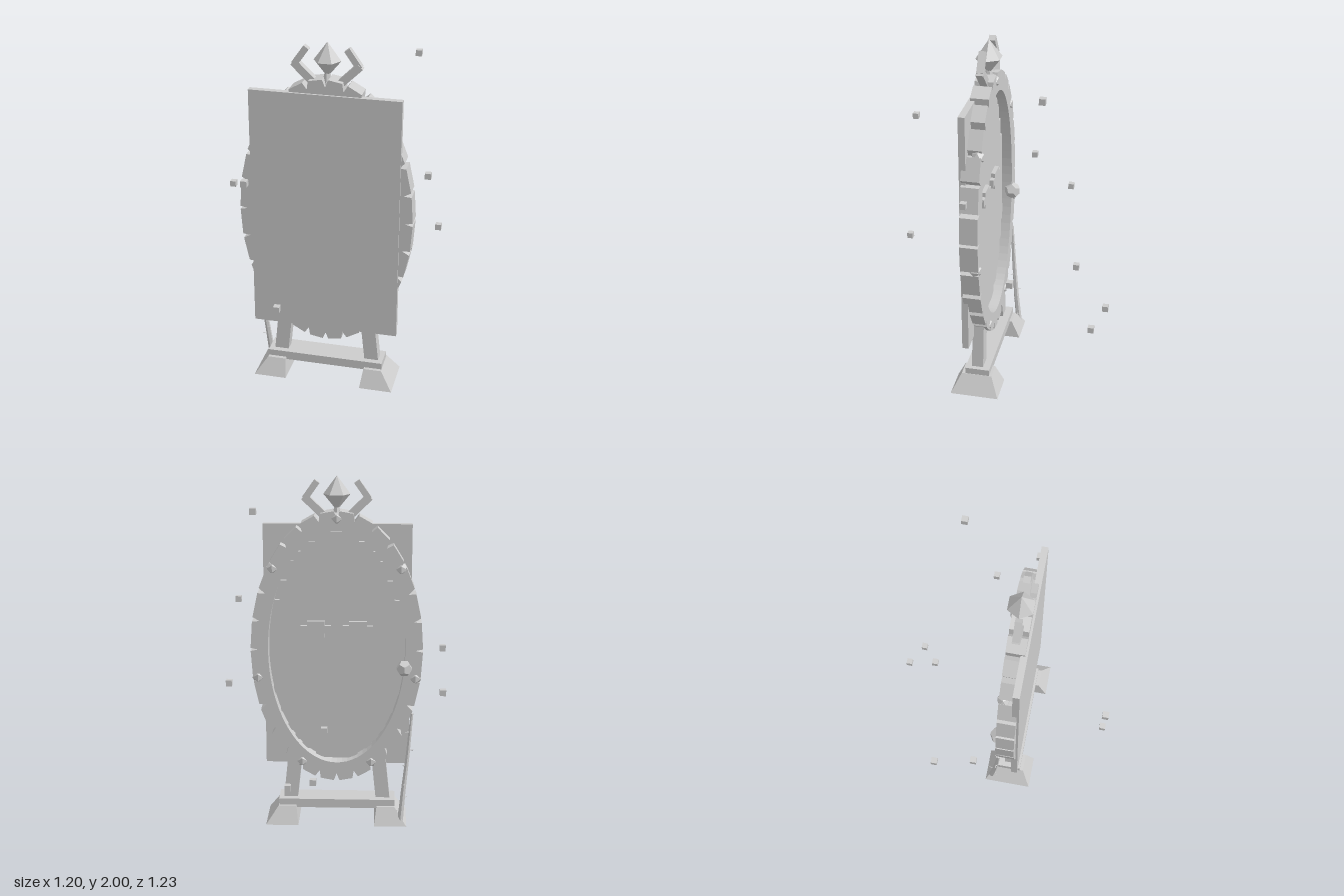
import * as THREE from 'three';

const stone = new THREE.MeshStandardMaterial({ color: 0xcccccc, flatShading: true });
stone.name = 'pale grey';
const CY = 1.03; // height of the oval's centre

export function createModel() {
  const root = new THREE.Group();
  root.name = 'standingMirror';

  const add = (name, geo, x = 0, y = 0, z = 0, parent = root) => {
    const m = new THREE.Mesh(geo, stone);
    m.name = name;
    m.position.set(x, y, z);
    parent.add(m);
    return m;
  };
  const box = (name, w, h, d, x, y, z) => add(name, new THREE.BoxGeometry(w, h, d), x, y, z);
  const extrude = (shape, depth) =>
    new THREE.ExtrudeGeometry(shape, { depth, bevelEnabled: false, curveSegments: 40 });
  // Square bar between two points of the xy plane
  const bar = (name, a, b, w, d, z) => {
    const dx = b[0] - a[0], dy = b[1] - a[1];
    const m = box(name, w, Math.hypot(dx, dy), d, (a[0] + b[0]) / 2, (a[1] + b[1]) / 2, z);
    m.rotation.z = Math.atan2(-dx, dy);
    return m;
  };

  // Front panel
  box('frontPanel', 0.826, 1.4, 0.036, -0.002, CY, 0.134);

  // Oval frame: 28 blocks separated by narrow notches
  const outline = [];
  const N = 28, step = (Math.PI * 2) / N;
  for (let i = 0; i < N; i++) {
    const t = i * step;
    const gap = 0.012 + 0.022 * Math.abs(Math.sin(t));
    for (const [da, inset] of [[-gap, 0], [0, 0.042], [gap, 0]]) {
      outline.push(new THREE.Vector2(
        (0.483 - inset) * Math.cos(t + da), (0.782 - inset) * Math.sin(t + da)));
    }
  }
  const frame = new THREE.Shape(outline);
  frame.holes.push(new THREE.Path().absellipse(0, 0, 0.385, 0.672, 0, Math.PI * 2, true));
  add('ovalFrame', extrude(frame, 0.1), 0, CY, 0.04);

  // Mirror plate with a stepped edge
  const cell = 0.04, rows = 24, rowH = 1.32 / rows, right = [];
  for (let i = 0; i < rows; i++) {
    const y0 = -0.66 + i * rowH, yc = y0 + rowH / 2;
    const w = Math.round((0.375 * Math.sqrt(1 - (yc / 0.665) ** 2)) / cell) * cell;
    right.push([w, y0], [w, y0 + rowH]);
  }
  const left = right.map(([x, y]) => [-x, y]).reverse();
  const plate = new THREE.Shape([...right, ...left].map(([x, y]) => new THREE.Vector2(x, y)));
  add('mirrorPlate', extrude(plate, 0.025), 0, CY, 0.092);

  // Raised stepped eyes
  const eye = new THREE.Shape([
    [-0.085, -0.022], [-0.05, -0.022], [-0.05, -0.047], [0.05, -0.047], [0.05, -0.022], [0.085, -0.022],
    [0.085, 0.022], [0.05, 0.022], [0.05, 0.047], [-0.05, 0.047], [-0.05, 0.022], [-0.085, 0.022],
  ].map(([x, y]) => new THREE.Vector2(x, y)));
  for (const s of [1, -1]) add('eye', extrude(eye, 0.025), s * 0.118, 1.14, 0.069);

  // Studs around the frame
  for (let i = 0; i < 7; i++) {
    const t = Math.PI / 2 + (i * Math.PI * 2) / 7;
    add('stud', new THREE.IcosahedronGeometry(0.038, 0),
      0.455 * Math.cos(t), CY + 0.74 * Math.sin(t), 0.062);
  }

  // Crown: faceted crystal between two bent horns
  const crystal = add('crystal', new THREE.LatheGeometry([
    new THREE.Vector2(0, -0.09), new THREE.Vector2(0.074, 0), new THREE.Vector2(0, 0.1),
  ], 6), 0, 1.9, 0.083);
  crystal.rotation.y = Math.PI / 6 + Math.PI / 3 * 0.5 + Math.PI / 6;
  crystal.rotation.y = Math.PI / 2;
  add('crystalBase', new THREE.CylinderGeometry(0.015, 0.03, 0.06, 6), 0, 1.805, 0.085);
  for (const s of [1, -1]) {
    bar('hornLower', [s * 0.065, 1.775], [s * 0.178, 1.885], 0.042, 0.04, 0.09);
    bar('hornUpper', [s * 0.175, 1.873], [s * 0.108, 1.968], 0.034, 0.036, 0.09);
  }

  // Stand: legs, crossbar and sloped feet
  box('crossbar', 0.67, 0.052, 0.138, -0.002, 0.111, 0.089);
  for (const s of [1, -1]) {
    bar('leg', [s * 0.268, 0.12], [s * 0.235, 0.43], 0.08, 0.065, 0.092);
    const foot = new THREE.BoxGeometry(1, 1, 1), p = foot.attributes.position;
    for (let i = 0; i < p.count; i++) {
      const top = p.getY(i) > 0, outer = p.getX(i) * s > 0, front = p.getZ(i) > 0;
      p.setXYZ(i,
        s * (outer ? (top ? 0.335 : 0.405) : (top ? 0.232 : 0.218)),
        top ? 0.1 : 0,
        front ? (top ? 0.178 : 0.228) : (top ? 0.005 : -0.045));
    }
    foot.computeVertexNormals();
    add('foot', foot);
  }

  // Thorny vine climbing one side to a large bud
  const path = [[-0.37, 0.03, -0.012], [-0.385, 0.2, 0.008], [-0.408, 0.42, 0.028], [-0.428, 0.66, 0.045]]
    .map((a) => new THREE.Vector3(...a));
  const up = new THREE.Vector3(0, 1, 0);
  for (let i = 0; i < 3; i++) {
    const dir = path[i + 1].clone().sub(path[i]), mid = path[i].clone().add(path[i + 1]).multiplyScalar(0.5);
    const seg = add('vine', new THREE.CylinderGeometry(0.015 - i * 0.003, 0.018 - i * 0.003, dir.length(), 6),
      mid.x, mid.y, mid.z);
    seg.quaternion.setFromUnitVectors(up, dir.normalize());
  }
  const curve = new THREE.CatmullRomCurve3(path);
  for (let i = 0; i < 6; i++) {
    const p = curve.getPoint(0.1 + i * 0.15), a = i * 2.4;
    const dir = new THREE.Vector3(Math.cos(a), 0.1, Math.sin(a));
    p.addScaledVector(dir, 0.02);
    add('thorn', new THREE.ConeGeometry(0.006, 0.04, 4), p.x, p.y, p.z)
      .quaternion.setFromUnitVectors(up, dir.normalize());
  }
  add('bud', new THREE.DodecahedronGeometry(0.047, 0), -0.38, 0.93, 0.035);

  // Small cubes floating around the mirror
  for (const p of [
    [0.42, 1.86, -0.28], [-0.31, 1.39, 0.585], [0.55, 1.31, 0.095], [-0.585, 1.08, -0.06],
    [0.583, 0.895, -0.153], [-0.58, 0.895, -0.285], [-0.15, 0.69, 0.6], [0.05, 0.72, -0.42],
    [0.237, 0.44, -0.54], [0.1, 0.5, -0.6],
  ]) box('floatingCube', 0.033, 0.033, 0.033, ...p);

  return root;
}
